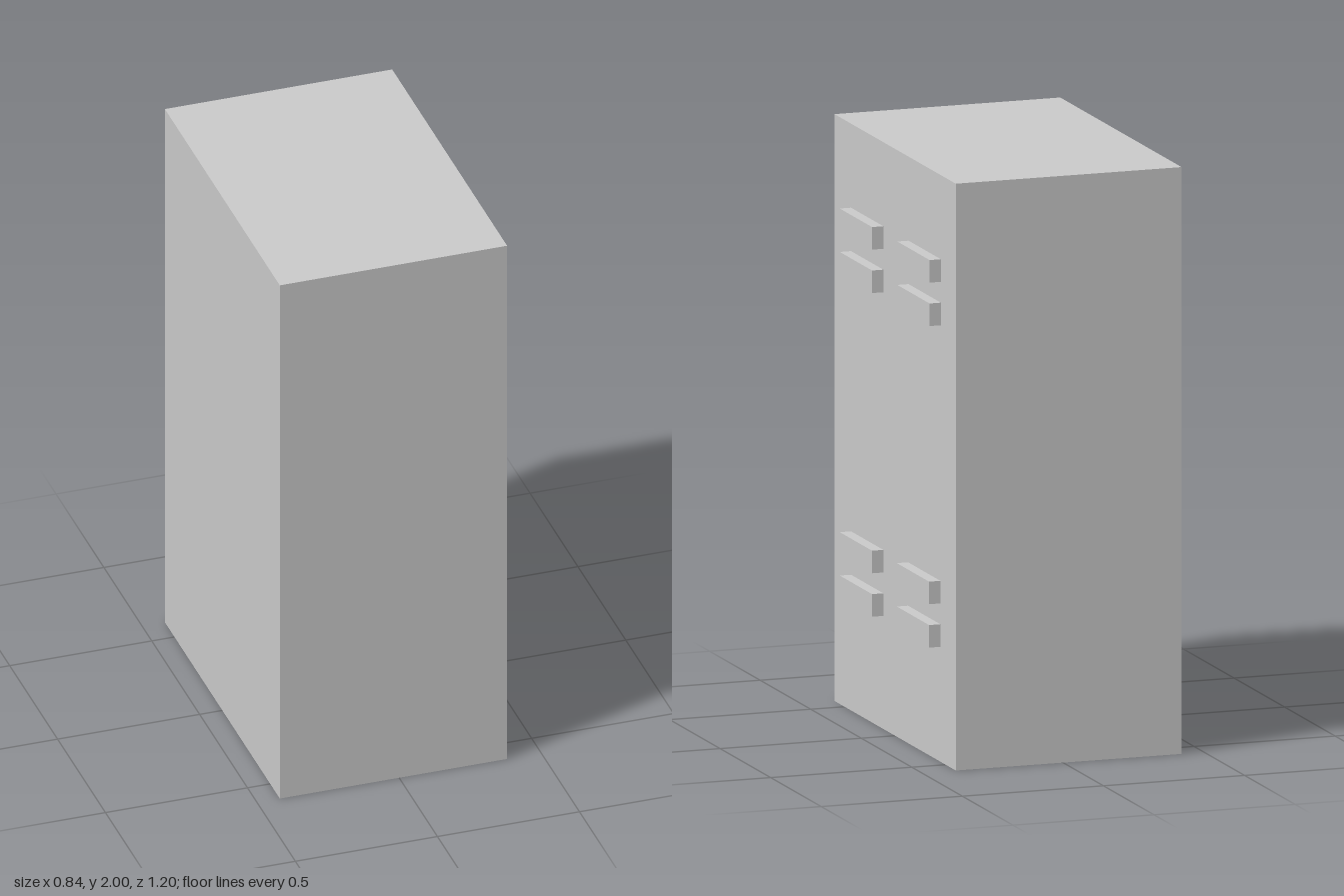
import * as THREE from 'three';

export function createModel() {
  const model = new THREE.Group();
  const material = new THREE.MeshStandardMaterial({ color: 0xcccccc, flatShading: true });

  function addBox(name, size, position) {
    const mesh = new THREE.Mesh(new THREE.BoxGeometry(...size), material);
    mesh.name = name;
    mesh.position.set(...position);
    model.add(mesh);
  }

  // Plain cabinet block
  addBox('cabinetBody', [0.8, 2, 1.2], [-0.02, 1, 0]);

  // Four pairs of raised slats on the +x side: upper slat height and z centre
  const pairs = [
    ['upperFront', 1.675, 0.276],
    ['upperBack', 1.675, -0.293],
    ['lowerFront', 0.572, 0.276],
    ['lowerBack', 0.578, -0.288],
  ];
  const slatSpacing = 0.148;
  for (const [name, y, z] of pairs) {
    for (let i = 0; i < 2; i++) {
      addBox(`${name}Slat${i + 1}`, [0.04, 0.077, 0.32], [0.4, y - i * slatSpacing, z]);
    }
  }
  return model;
}
